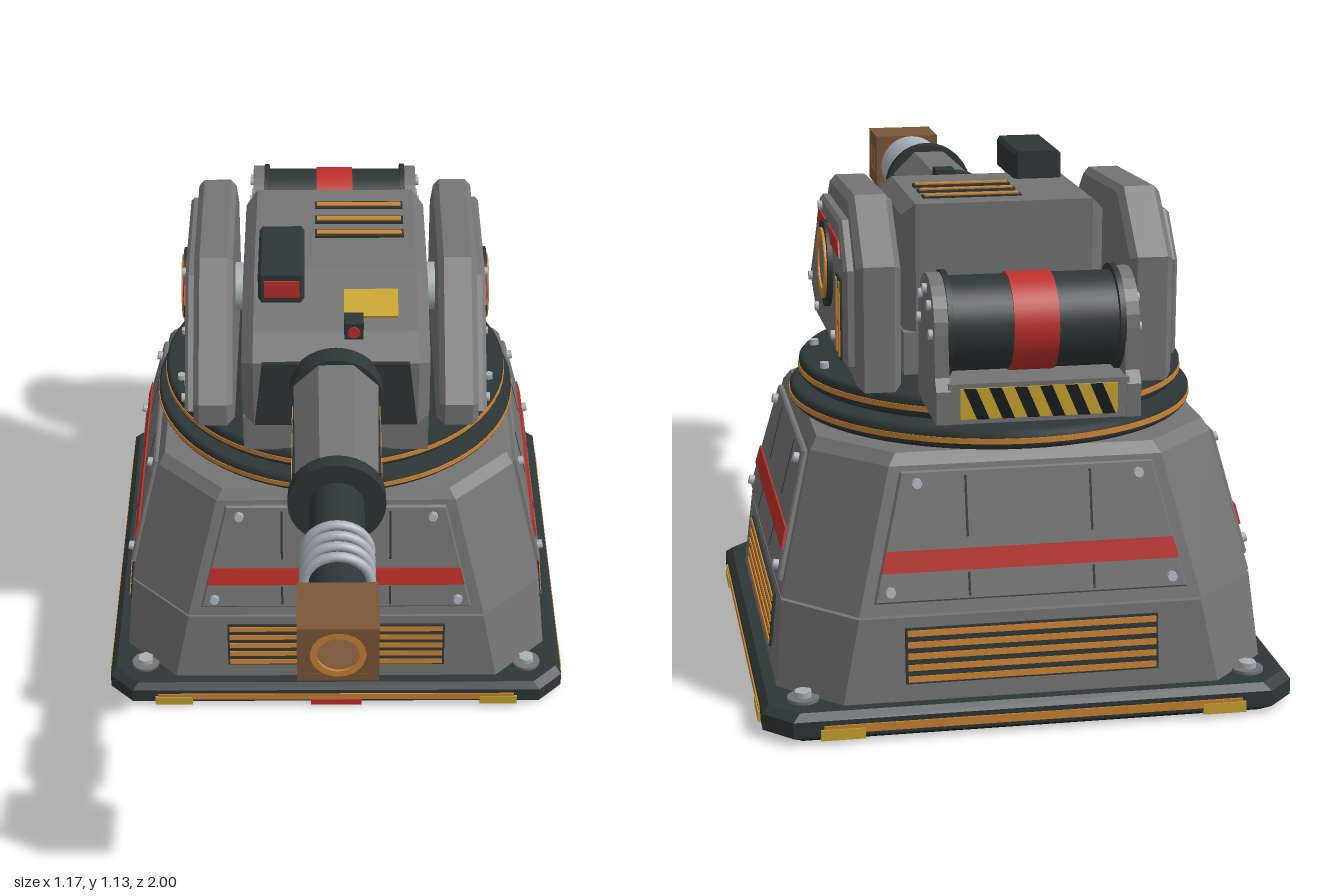
import * as THREE from 'three';

const mat = (name, color) => {
  const m = new THREE.MeshStandardMaterial({ color });
  m.name = name;
  return m;
};
const GREY = mat('armour grey', 0x747474), DARK = mat('dark steel', 0x2d3737), ORANGE = mat('orange', 0xcc8433),
  RED = mat('red', 0xbe302a), YELLOW = mat('yellow', 0xc8a430), SILVER = mat('silver', 0xa8b0b8),
  BROWN = mat('muzzle brown', 0x7b5638), BLACK = mat('underside black', 0x171c1d);

function add(parent, name, geo, material, x = 0, y = 0, z = 0) {
  const m = new THREE.Mesh(geo, material);
  m.name = name;
  m.position.set(x, y, z);
  parent.add(m);
  return m;
}
function group(parent, name, x = 0, y = 0, z = 0) {
  const g = new THREE.Group();
  g.name = name;
  g.position.set(x, y, z);
  parent.add(g);
  return g;
}
const box = (w, h, d) => new THREE.BoxGeometry(w, h, d);
const cyl = (r0, r1, h, n = 32) => new THREE.CylinderGeometry(r1, r0, h, n);
const cylX = (r, h, n = 32) => cyl(r, r, h, n).rotateZ(Math.PI / 2);
const cylZ = (r0, r1, h, n = 32) => cyl(r0, r1, h, n).rotateX(Math.PI / 2);
const shapeOf = pts => new THREE.Shape(pts.map(p => new THREE.Vector2(p[0], p[1])));
const extrude = (shape, depth, bevel = 0) => new THREE.ExtrudeGeometry(shape, {
  depth, curveSegments: 24, bevelEnabled: bevel > 0, bevelSize: bevel, bevelThickness: bevel, bevelSegments: 1,
});
// Side profile of (z, y) points, extruded along x and centred on x = 0
const sideProfile = (pts, width, bevel = 0) =>
  extrude(shapeOf(pts.map(([z, y]) => [-z, y])), width - 2 * bevel, bevel)
    .rotateY(Math.PI / 2).translate(-(width - 2 * bevel) / 2, 0, 0);
// Flat ring extruded along z
function ringGeo(outer, inner, depth) {
  const s = new THREE.Shape().absarc(0, 0, outer, 0, Math.PI * 2);
  s.holes.push(new THREE.Path().absarc(0, 0, inner, 0, Math.PI * 2));
  return extrude(s, depth);
}

// Stacked octagons, each [y, half width, corner chamfer]
function octagonLoft(levels) {
  const rings = levels.map(([y, h, c]) => {
    const f = h - c;
    return [[h, -f], [h, f], [f, h], [-f, h], [-h, f], [-h, -f], [-f, -h], [f, -h]].map(([x, u]) => [x, y, -u]);
  });
  const p = [], tri = (a, b, c) => p.push(...a, ...b, ...c), top = rings[rings.length - 1];
  for (let i = 0; i < 8; i++) {
    const j = (i + 1) % 8;
    for (let k = 0; k + 1 < rings.length; k++) {
      tri(rings[k][i], rings[k][j], rings[k + 1][j]);
      tri(rings[k][i], rings[k + 1][j], rings[k + 1][i]);
    }
    tri([0, levels[0][0], 0], rings[0][j], rings[0][i]);
    tri([0, top[0][1], 0], top[i], top[j]);
  }
  const g = new THREE.BufferGeometry();
  g.setAttribute('position', new THREE.Float32BufferAttribute(p, 3));
  g.computeVertexNormals();
  return g;
}

function buildBase(root) {
  const base = group(root, 'base', 0, 0, -0.415);
  add(base, 'basePlate', octagonLoft([[0.004, 0.565, 0.06], [0.014, 0.58, 0.06], [0.05, 0.58, 0.06], [0.065, 0.565, 0.06]]), DARK);
  add(base, 'undersidePlate', octagonLoft([[0, 0.56, 0.06], [0.004, 0.565, 0.06]]), BLACK);
  add(base, 'undersideRing', ringGeo(0.205, 0.16, 0.003).rotateX(Math.PI / 2), ORANGE, 0, 0.001, 0);
  add(base, 'undersideHub', cyl(0.075, 0.075, 0.006), GREY, 0, 0.001, 0);
  add(base, 'lowerSkirt', octagonLoft([[0.06, 0.54, 0.13], [0.248, 0.522, 0.15]]), GREY);
  add(base, 'upperSkirt', octagonLoft([[0.254, 0.522, 0.15], [0.56, 0.446, 0.15], [0.585, 0.43, 0.15]]), GREY);
  for (const x of [-1, 1]) for (const z of [-1, 1]) {
    add(base, 'undersideFoot', cyl(0.025, 0.025, 0.005, 16), DARK, x * 0.35, 0, z * 0.35);
    add(base, 'anchorWasher', cyl(0.035, 0.035, 0.008, 16), GREY, x * 0.49, 0.068, z * 0.49);
    add(base, 'anchorBolt', cyl(0.02, 0.02, 0.02, 6), SILVER, x * 0.49, 0.075, z * 0.49);
  }
  // The same panel, stripe and vent on all four faces
  for (let k = 0; k < 4; k++) {
    const face = group(base, 'baseFace');
    face.rotation.y = k * Math.PI / 2;
    add(face, 'edgeLight', box(0.91, 0.018, 0.008), ORANGE, 0, 0.03, 0.579);
    for (const s of [-1, 1]) add(face, 'cornerMarking', box(0.095, 0.024, 0.01), YELLOW, s * 0.415, 0.019, 0.58);
    if (k === 0) add(face, 'centreMarking', box(0.13, 0.016, 0.012), RED, 0, 0.014, 0.58);
    const upper = group(face, 'upperFace', 0, 0.254, 0.522);
    upper.rotation.x = -Math.atan2(0.076, 0.306);
    add(upper, 'armourPanel', extrude(shapeOf([[-0.335, 0.03], [0.335, 0.03], [0.27, 0.3], [-0.27, 0.3]]), 0.008, 0.004), GREY);
    add(upper, 'redStripe', extrude(shapeOf([[-0.322, 0.09], [0.322, 0.09], [0.311, 0.136], [-0.311, 0.136]]), 0.005), RED, 0, 0, 0.011);
    for (const s of [-1, 1]) {
      for (const [y, h] of [[0.06, 0.05], [0.225, 0.13]]) add(upper, 'panelSeam', box(0.005, h, 0.004), DARK, s * 0.135, y, 0.011);
      for (const [x, y] of [[0.305, 0.05], [0.24, 0.277]]) add(upper, 'panelBolt', cylZ(0.013, 0.011, 0.016, 8), SILVER, s * x, y, 0.016);
    }
    const lower = group(face, 'lowerFace', 0, 0.065, 0.54);
    lower.rotation.x = -Math.atan2(0.018, 0.188);
    add(lower, 'ventRecess', box(0.55, 0.122, 0.012), DARK, 0, 0.1, 0);
    for (let i = 0; i < 5; i++) add(lower, 'ventSlat', box(0.54, 0.013, 0.008), ORANGE, 0, 0.05 + i * 0.025, 0.005);
  }
  // Turntable rings
  for (const [r, y0, y1] of [[0.457, 0.585, 0.63], [0.435, 0.641, 0.69]]) {
    const pts = [[0, y0], [r - 0.01, y0], [r, y0 + 0.01], [r, y1 - 0.01], [r - 0.01, y1], [0, y1]].map(p => new THREE.Vector2(...p));
    add(base, 'turntableRing', new THREE.LatheGeometry(pts, 64), DARK);
    add(base, 'turntableLight', cyl(r + 0.002, r + 0.002, 0.012, 64), ORANGE, 0, (y0 + y1) / 2 - 0.002, 0);
  }
  for (let i = 0; i < 12; i++) {
    const a = (i + 0.5) * Math.PI / 6;
    add(base, 'turntableBolt', cyl(0.011, 0.011, 0.016, 6), SILVER, 0.405 * Math.cos(a), 0.695, 0.405 * Math.sin(a));
  }
}

function buildBody(root) {
  const body = group(root, 'turretBody');
  add(body, 'bodyPedestal', box(0.45, 0.1, 0.6), GREY, 0, 0.735, -0.31);
  add(body, 'bodyShell', sideProfile([[0.01, 0.81], [0.01, 0.955], [-0.05, 0.985], [-0.24, 1.037], [-0.575, 1.042], [-0.575, 0.79], [-0.02, 0.79]], 0.45, 0.028), GREY);
  add(body, 'frontPlate', extrude(shapeOf([[-0.195, 0.8], [0.195, 0.8], [0.175, 0.975], [-0.175, 0.975]]), 0.012), DARK, 0, 0, 0.034);
  add(body, 'chinMarking', box(0.09, 0.022, 0.012), RED, 0, 0.775, -0.008);
  for (const z of [-0.39, -0.455, -0.525]) {
    add(body, 'roofVent', box(0.22, 0.008, 0.032), DARK, 0.06, 1.069, z);
    add(body, 'roofVentSlat', box(0.21, 0.008, 0.016), ORANGE, 0.06, 1.072, z);
  }
  add(body, 'roofMarking', box(0.13, 0.008, 0.088), YELLOW, 0.085, 1.036, -0.123).rotation.x = 0.268;
  add(body, 'sightBox', sideProfile([[-0.108, 1.063], [-0.108, 1.122], [-0.317, 1.122], [-0.317, 1.063]], 0.11, 0.008), DARK, -0.13);
  add(body, 'sightLens', box(0.085, 0.045, 0.006), RED, -0.128, 1.092, -0.099);
  add(body, 'sensorBox', box(0.046, 0.05, 0.05), DARK, 0.043, 1.02, -0.045);
  add(body, 'sensorLens', cylZ(0.015, 0.015, 0.006, 16), RED, 0.043, 1.022, -0.019);
  add(body, 'trunnion', cylX(0.06, 0.54), SILVER, 0, 0.905, -0.41);
}

// Side armour, mirrored left and right
function buildCheek(root, s) {
  const cheek = group(root, s > 0 ? 'leftCheek' : 'rightCheek');
  add(cheek, 'cheekArmour', sideProfile([[-0.005, 0.78], [-0.005, 0.825], [-0.27, 1.065], [-0.605, 1.082], [-0.735, 0.96], [-0.735, 0.705], [-0.12, 0.705]], 0.095, 0.014), GREY, s * 0.2975);
  add(cheek, 'cheekPanel', sideProfile([[-0.03, 0.795], [-0.26, 1.025], [-0.61, 1.035], [-0.69, 0.945], [-0.69, 0.745], [-0.15, 0.73]], 0.04, 0.008), GREY, s * 0.347);
  add(cheek, 'cheekStripe', sideProfile([[-0.225, 0.965], [-0.26, 1.0], [-0.625, 1.0], [-0.645, 0.965]], 0.008), RED, s * 0.367);
  add(cheek, 'hubRim', cylX(0.098, 0.025), DARK, s * 0.366, 0.905, -0.41);
  add(cheek, 'hubLight', ringGeo(0.08, 0.057, 0.01).rotateY(s * Math.PI / 2), ORANGE, s * 0.374, 0.905, -0.41);
  add(cheek, 'hubCap', cylX(0.05, 0.03, 24), GREY, s * 0.366, 0.905, -0.41);
  for (const z of [-0.605, -0.65]) {
    add(cheek, 'cheekVent', box(0.008, 0.18, 0.034), DARK, s * 0.367, 0.833, z);
    add(cheek, 'cheekVentSlat', box(0.008, 0.165, 0.018), ORANGE, s * 0.37, 0.833, z);
  }
  for (const [z, y] of [[-0.07, 0.8], [-0.2, 0.755], [-0.52, 0.765], [-0.3, 1.015]])
    add(cheek, 'cheekBolt', cylX(0.011, 0.014, 8), SILVER, s * 0.369, y, z);
}

function buildGun(root) {
  const gun = group(root, 'gun', 0, 0.905, 0);
  add(gun, 'mantletCollar', cylZ(0.112, 0.112, 0.055), DARK, 0, 0, 0.065);
  add(gun, 'barrelSleeve', cylZ(0.108, 0.1, 0.37, 8).rotateZ(Math.PI / 8).toNonIndexed(), GREY, 0, 0, 0.275).geometry.computeVertexNormals();
  add(gun, 'sleeveRing', cylZ(0.11, 0.11, 0.037), DARK, 0, 0, 0.478);
  add(gun, 'barrel', cylZ(0.062, 0.062, 0.37), DARK, 0, 0, 0.67);
  for (const s of [-1, 1]) for (const z of [0.165, 0.27, 0.37]) {
    add(gun, 'sleeveSlot', box(0.012, 0.04, 0.07), DARK, s * 0.095, 0, z);
    add(gun, 'sleeveLight', box(0.012, 0.028, 0.056), ORANGE, s * 0.0975, 0, z);
  }
  for (let i = 0; i < 4; i++) add(gun, 'coolingCoil', new THREE.TorusGeometry(0.072, 0.011, 10, 32), SILVER, 0, 0, 0.66 + i * 0.036);

  // Hollow muzzle brake with windowed sides
  const muzzle = group(gun, 'muzzleBrake', 0, 0, 0.925);
  const wall = shapeOf([[-0.075, -0.07], [0.075, -0.07], [0.075, 0.07], [-0.075, 0.07]]);
  for (const x of [-0.024, 0.024]) {
    const w = new THREE.Path();
    w.moveTo(x - 0.017, -0.032).lineTo(x - 0.017, 0.032).lineTo(x + 0.017, 0.032).lineTo(x + 0.017, -0.032).closePath();
    wall.holes.push(w);
  }
  for (const s of [-1, 1]) {
    add(muzzle, 'muzzleSide', extrude(wall, 0.02).rotateY(Math.PI / 2), BROWN, s * 0.075 - 0.01);
    add(muzzle, 'muzzlePlate', box(0.16, 0.02, 0.15), BROWN, 0, s * 0.06, 0);
  }
  add(muzzle, 'muzzleBack', box(0.16, 0.14, 0.015), BROWN, 0, 0, -0.0675);
  const front = shapeOf([[-0.08, -0.065], [0.08, -0.065], [0.08, 0.065], [-0.08, 0.065]]);
  front.holes.push(new THREE.Path().absarc(0, 0, 0.05, 0, Math.PI * 2));
  add(muzzle, 'muzzleFront', extrude(front, 0.015), BROWN, 0, 0, 0.059);
  add(muzzle, 'muzzleRing', ringGeo(0.058, 0.044, 0.006), ORANGE, 0, 0, 0.0695);
  add(muzzle, 'bore', cylZ(0.045, 0.045, 0.006, 24), DARK, 0, 0, -0.058);
}

function buildDrum(root) {
  const drum = group(root, 'rearDrum');
  add(drum, 'drum', cylX(0.1, 0.36, 40), DARK, 0, 0.868, -0.865);
  add(drum, 'drumBand', cylX(0.104, 0.095, 40), RED, 0, 0.868, -0.865);
  add(drum, 'drumCradle', box(0.38, 0.085, 0.25), GREY, 0, 0.7275, -0.868);
  const arch = [[-0.75, 0.685], [-0.995, 0.685], [-0.995, 0.755], [-0.975, 0.78]];
  for (let i = 0; i <= 12; i++) {
    const a = i * Math.PI / 12;
    arch.push([-0.865 - 0.108 * Math.cos(a), 0.868 + 0.108 * Math.sin(a)]);
  }
  for (const s of [-1, 1]) {
    add(drum, 'drumEndPlate', sideProfile(arch, 0.03), GREY, s * 0.2);
    add(drum, 'drumEndTrim', cylX(0.113, 0.012, 40), DARK, s * 0.18, 0.868, -0.865);
    for (let i = 0; i < 5; i++) {
      const a = i * Math.PI / 4;
      add(drum, 'drumBolt', cylX(0.011, 0.014, 8), SILVER, s * 0.217, 0.865 + 0.08 * Math.sin(a), -0.865 + 0.08 * Math.cos(a));
    }
  }
  // Hazard strip facing back
  add(drum, 'hazardPlate', box(0.33, 0.065, 0.006), YELLOW, 0, 0.728, -0.994);
  for (let i = 0; i < 6; i++) {
    const x = -0.16 + i * 0.053;
    add(drum, 'hazardStripe', extrude(shapeOf([[x, -0.0325], [x + 0.026, -0.0325], [x + 0.054, 0.0325], [x + 0.028, 0.0325]]), 0.004), BLACK, 0, 0.728, -1);
  }
}

export function createModel() {
  const root = new THREE.Group();
  root.name = 'turret';
  buildBase(root);
  buildBody(root);
  for (const s of [-1, 1]) buildCheek(root, s);
  buildGun(root);
  buildDrum(root);
  return root;
}
